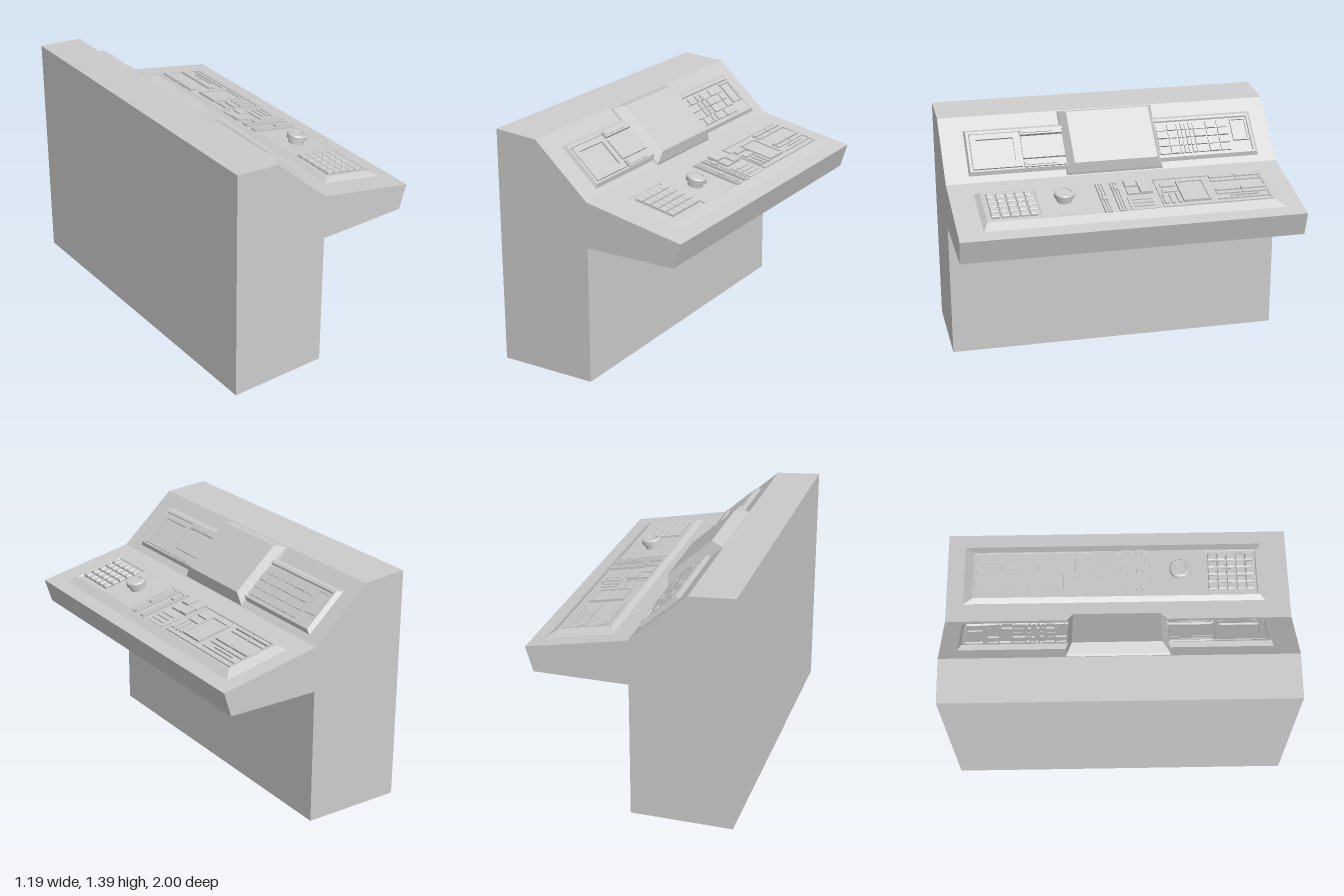
import * as THREE from 'three';

const material = new THREE.MeshStandardMaterial({ color: 0xcccccc, flatShading: true });

function add(group, name, geometry) {
  const mesh = new THREE.Mesh(geometry, material);
  mesh.name = name;
  group.add(mesh);
  return mesh;
}

// Box given by its limits: u down the slope, z along the console, h off the surface
function box(group, name, u0, u1, z0, z1, h0, h1) {
  const mesh = add(group, name, new THREE.BoxGeometry(u1 - u0, h1 - h0, z1 - z0));
  mesh.position.set((u0 + u1) / 2, (h0 + h1) / 2, (z0 + z1) / 2);
  return mesh;
}

// Skin through stacked rectangles [u0, u1, z0, z1, h], capped by the last one
function stepped(group, name, rings) {
  const pos = [];
  const corners = ([u0, u1, z0, z1, h]) => [[u0, h, z0], [u0, h, z1], [u1, h, z1], [u1, h, z0]];
  const quad = (a, b, c, d) => pos.push(...a, ...b, ...c, ...a, ...c, ...d);
  for (let r = 0; r < rings.length - 1; r++) {
    const a = corners(rings[r]), b = corners(rings[r + 1]);
    for (let i = 0; i < 4; i++) {
      const j = (i + 1) % 4;
      quad(a[i], a[j], b[j], b[i]);
    }
  }
  quad(...corners(rings[rings.length - 1]));
  const geometry = new THREE.BufferGeometry();
  geometry.setAttribute('position', new THREE.Float32BufferAttribute(pos, 3));
  geometry.computeVertexNormals();
  return add(group, name, geometry);
}

// Raised rim around a sunken floor
function frame(group, name, u0, u1, z0, z1, base, top, floor, w) {
  stepped(group, name, [
    [u0, u1, z0, z1, base], [u0, u1, z0, z1, top],
    [u0 + w, u1 - w, z0 + w, z1 - w, top], [u0 + w, u1 - w, z0 + w, z1 - w, floor],
  ]);
}

function slope(root, name, x, y, dx, dy) {
  const group = new THREE.Group();
  group.name = name;
  group.position.set(x, y, 0);
  group.rotation.z = Math.atan2(dy, dx);
  root.add(group);
  return group;
}

function buildUpperPanel(root) {
  const g = slope(root, 'upperPanel', -0.33, 1.375, 0.33, -0.3);
  stepped(g, 'upperBezel', [
    [0.095, 0.4, -0.9, 0.86, 0], [0.12, 0.385, -0.88, 0.85, 0.022],
    [0.135, 0.375, -0.87, 0.835, 0.022], [0.14, 0.37, -0.865, 0.83, 0.012],
  ]);

  // Central monitor
  stepped(g, 'monitor', [[0.005, 0.44, -0.295, 0.285, 0], [0.012, 0.434, -0.29, 0.28, 0.012],
    [0.049, 0.396, -0.26, 0.24, 0.064]]);

  // Key grid with a block of narrow keys in the middle
  const edges = [-0.74, -0.67, -0.6, -0.52, -0.495, -0.47, -0.445, -0.42, -0.36, -0.29];
  for (let i = 0; i < edges.length - 1; i++) {
    for (let row = 0; row < 4; row++) {
      const u = 0.155 + row * 0.053;
      const h = 0.02 + ((i * 2 + row * 3) % 4) * 0.002;
      box(g, 'upperKey', u, u + 0.046, edges[i] + 0.004, edges[i + 1] - 0.004, 0.01, h);
    }
  }
  frame(g, 'smallDisplay', 0.15, 0.3, -0.86, -0.76, 0.01, 0.024, 0.015, 0.01);

  // Window and rails on the other side
  frame(g, 'window', 0.14, 0.37, 0.54, 0.83, 0.01, 0.024, 0.008, 0.035);
  box(g, 'slidingCover', 0.18, 0.32, 0.28, 0.53, 0.01, 0.026);
  for (const [u0, u1] of [[0.125, 0.165], [0.335, 0.38]]) {
    box(g, 'rail', u0, u1, 0.28, 0.53, 0.01, 0.032);
    box(g, 'railStep', u0 + 0.01, u1 - 0.01, 0.34, 0.52, 0.03, 0.037);
  }
}

function buildDeskPanel(root) {
  const g = slope(root, 'deskPanel', 0, 1.075, 0.595, -0.12);
  stepped(g, 'deskBezel', [
    [0.12, 0.52, -0.9, 0.855, 0], [0.145, 0.465, -0.845, 0.825, 0.025],
    [0.152, 0.458, -0.838, 0.815, 0.025], [0.155, 0.455, -0.835, 0.81, 0.019],
  ]);

  // Slider banks at the far end
  frame(g, 'instrumentPlate', 0.152, 0.452, -0.835, -0.19, 0.018, 0.027, 0.021, 0.006);
  for (const u of [0.17, 0.31]) {
    for (const z of [-0.825, -0.67]) {
      box(g, 'meterBar', u, u + 0.022, z, z + 0.145, 0.02, 0.034);
      box(g, 'meterBar', u + 0.03, u + 0.055, z, z + 0.145, 0.02, 0.03);
    }
  }
  box(g, 'thinBar', 0.38, 0.39, -0.77, -0.6, 0.02, 0.03);
  box(g, 'thinBar', 0.41, 0.418, -0.825, -0.52, 0.02, 0.03);

  // Square display with small bars beside it
  frame(g, 'squareDisplay', 0.2, 0.415, -0.48, -0.315, 0.02, 0.036, 0.028, 0.012);
  for (const u of [0.21, 0.27]) box(g, 'smallBar', u, u + 0.035, -0.305, -0.215, 0.02, 0.032);
  for (const z of [-0.305, -0.265, -0.225]) box(g, 'smallBar', 0.32, 0.42, z, z + 0.02, 0.02, 0.032);

  // Tiles and ribs
  for (let i = 0; i < 2; i++) {
    for (let j = 0; j < 2; j++) {
      const u = 0.155 + i * 0.073, z = -0.16 + j * 0.078;
      box(g, 'tile', u, u + 0.066, z, z + 0.07, 0.018, 0.032 + 0.006 * ((i + j) % 2));
    }
  }
  box(g, 'ribPlate', 0.32, 0.46, -0.165, 0, 0.018, 0.028);
  for (const u of [0.35, 0.385, 0.42]) box(g, 'rib', u, u + 0.015, -0.14, -0.02, 0.027, 0.035);

  // Crosswise sliders
  for (const [z, knob] of [[0.025, 0.22], [0.11, 0.32]]) {
    frame(g, 'sliderSlot', 0.16, 0.465, z, z + 0.045, 0.018, 0.034, 0.024, 0.01);
    box(g, 'sliderTrack', 0.175, 0.45, z + 0.018, z + 0.027, 0.022, 0.034);
    box(g, 'sliderKnob', knob, knob + 0.03, z + 0.008, z + 0.037, 0.022, 0.045);
  }

  // Rotary dial
  box(g, 'dialPlate', 0.152, 0.46, 0.19, 0.515, 0.016, 0.026);
  const dial = [[0, 0.02], [0.045, 0.02], [0.045, 0.05], [0.06, 0.055], [0.06, 0.078], [0.053, 0.086],
    [0.04, 0.086], [0.038, 0.08], [0, 0.08]].map(([r, h]) => new THREE.Vector2(r, h));
  add(g, 'dial', new THREE.LatheGeometry(dial, 20)).position.set(0.3, 0, 0.363);

  // Keypad
  for (let i = 0; i < 5; i++) {
    for (let j = 0; j < 5; j++) {
      const u = 0.18 + i * 0.051, z = 0.53 + j * 0.055;
      stepped(g, 'key', [[u, u + 0.043, z, z + 0.047, 0.018], [u, u + 0.043, z, z + 0.047, 0.032],
        [u + 0.005, u + 0.038, z + 0.005, z + 0.042, 0.038]]);
    }
  }
}

export function createModel() {
  const root = new THREE.Group();
  root.name = 'controlConsole';

  // Body: side profile swept along z
  const profile = new THREE.Shape([[-0.595, 0], [0, 0], [0, 0.81], [0.55, 0.81], [0.595, 0.955],
    [0, 1.075], [-0.33, 1.375], [-0.595, 1.395]].map(([x, y]) => new THREE.Vector2(x, y)));
  const body = new THREE.ExtrudeGeometry(profile, { depth: 2, bevelEnabled: false });
  body.translate(0, 0, -1);
  add(root, 'body', body);

  buildUpperPanel(root);
  buildDeskPanel(root);
  return root;
}
